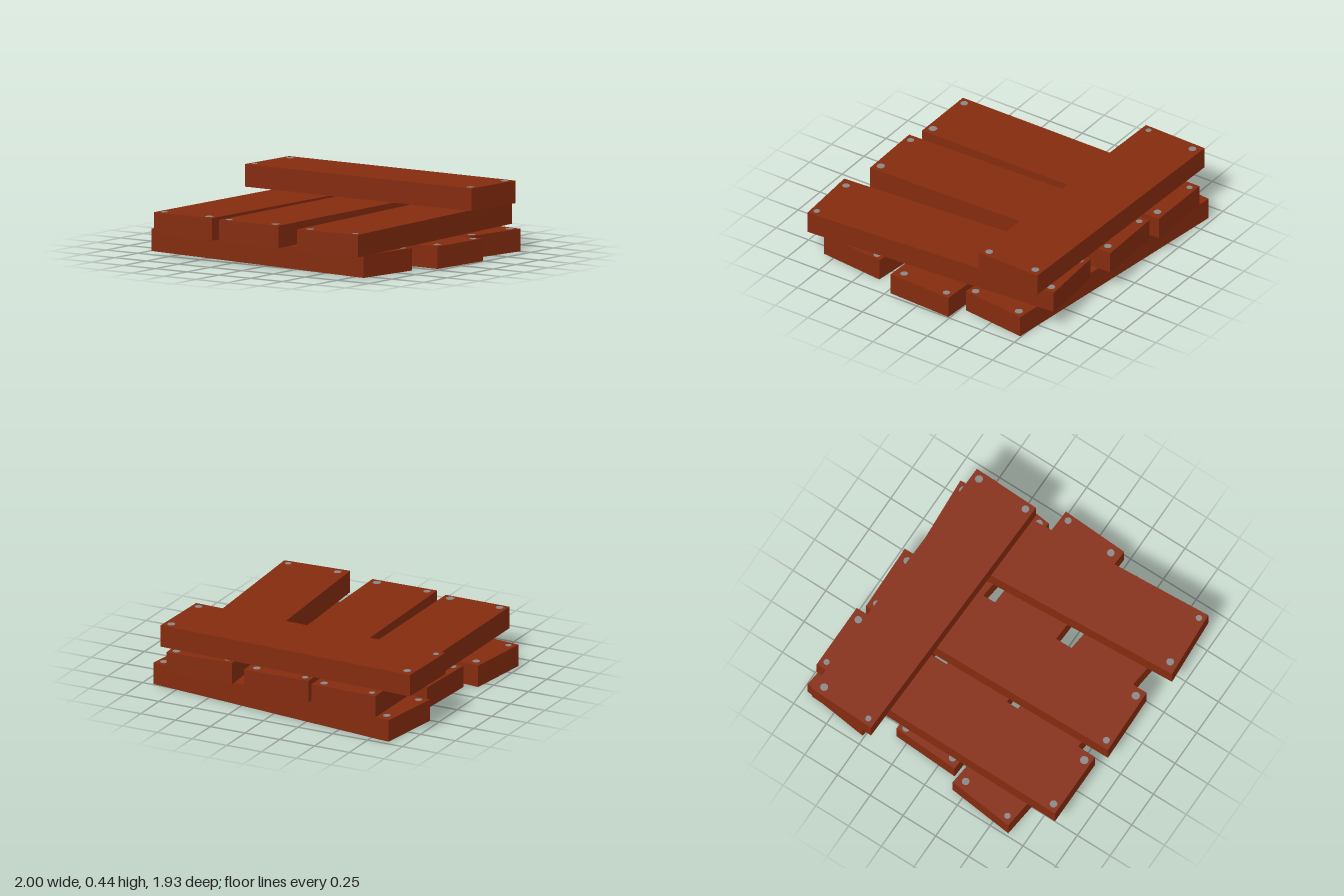
import * as THREE from 'three';

const LENGTH = 1.823, WIDTH = 0.46, THICK = 0.145, LAYER = 0.147, PROUD = 0.002;

// layer, centre [x, z], turn about y, nails [x, z, radius] in model space
const PLANKS = [
  { name: 'bottomPlankBack', layer: 0, at: [-0.008, -0.628], turn: -0.124,
    nails: [[-0.834, -0.896, 0.025], [-0.88, -0.55, 0.023], [0.872, -0.698, 0.027], [0.834, -0.34, 0.025]] },
  { name: 'bottomPlankMiddle', layer: 0, at: [0.074, -0.056], turn: -0.05,
    nails: [[-0.79, -0.28, 0.025], [-0.795, 0.078, 0.025], [0.952, -0.195, 0.023], [0.92, 0.152, 0.025]] },
  { name: 'bottomPlankFront', layer: 0, at: [-0.05, 0.497], turn: -0.11,
    nails: [[-0.882, 0.235, 0.025], [-0.93, 0.585, 0.021], [0.835, 0.415, 0.025], [0.78, 0.765, 0.023]] },
  { name: 'middlePlankRight', layer: 1, at: [-0.561, -0.052], turn: Math.PI / 2 - 0.004,
    nails: [[-0.74, -0.92, 0.02], [-0.39, -0.91, 0.025], [-0.745, 0.815, 0.025], [-0.39, 0.815, 0.028]] },
  { name: 'middlePlankCentre', layer: 1, at: [-0.037, -0.013], turn: Math.PI / 2 + 0.019,
    nails: [[-0.235, -0.875, 0.021], [0.115, -0.87, 0.025], [-0.2, 0.858, 0.023], [0.155, 0.848, 0.027]] },
  { name: 'middlePlankLeft', layer: 1, at: [0.581, 0.036], turn: Math.PI / 2 + 0.059,
    nails: [[0.35, -0.815, 0.024], [0.71, -0.837, 0.026], [0.467, 0.904, 0.025], [0.816, 0.893, 0.021]] },
  { name: 'topPlank', layer: 2, at: [-0.082, -0.612], turn: -0.03,
    nails: [[-0.935, -0.81, 0.026], [-0.957, -0.458, 0.02], [0.785, -0.765, 0.026], [0.778, -0.406, 0.025]] },
];

export function createModel() {
  const model = new THREE.Group();
  model.name = 'plankStack';
  const wood = new THREE.MeshStandardMaterial({ name: 'red brown wood', color: 0x842b0e });
  const steel = new THREE.MeshStandardMaterial({ name: 'grey nail', color: 0x8a8686 });
  const board = new THREE.BoxGeometry(LENGTH, THICK, WIDTH);

  for (const { name, layer, at, turn, nails } of PLANKS) {
    const group = new THREE.Group();
    group.name = name;
    group.position.y = PROUD + THICK / 2 + layer * LAYER;

    const plank = new THREE.Mesh(board, wood);
    plank.name = 'board';
    plank.position.set(at[0], 0, at[1]);
    plank.rotation.y = turn;
    group.add(plank);

    // nails run through the board and show as flat discs on both faces
    for (const [x, z, r] of nails) {
      const nail = new THREE.Mesh(new THREE.CylinderGeometry(r, r, THICK + 2 * PROUD, 10), steel);
      nail.name = 'nail';
      nail.position.set(x, 0, z);
      group.add(nail);
    }
    model.add(group);
  }
  return model;
}
